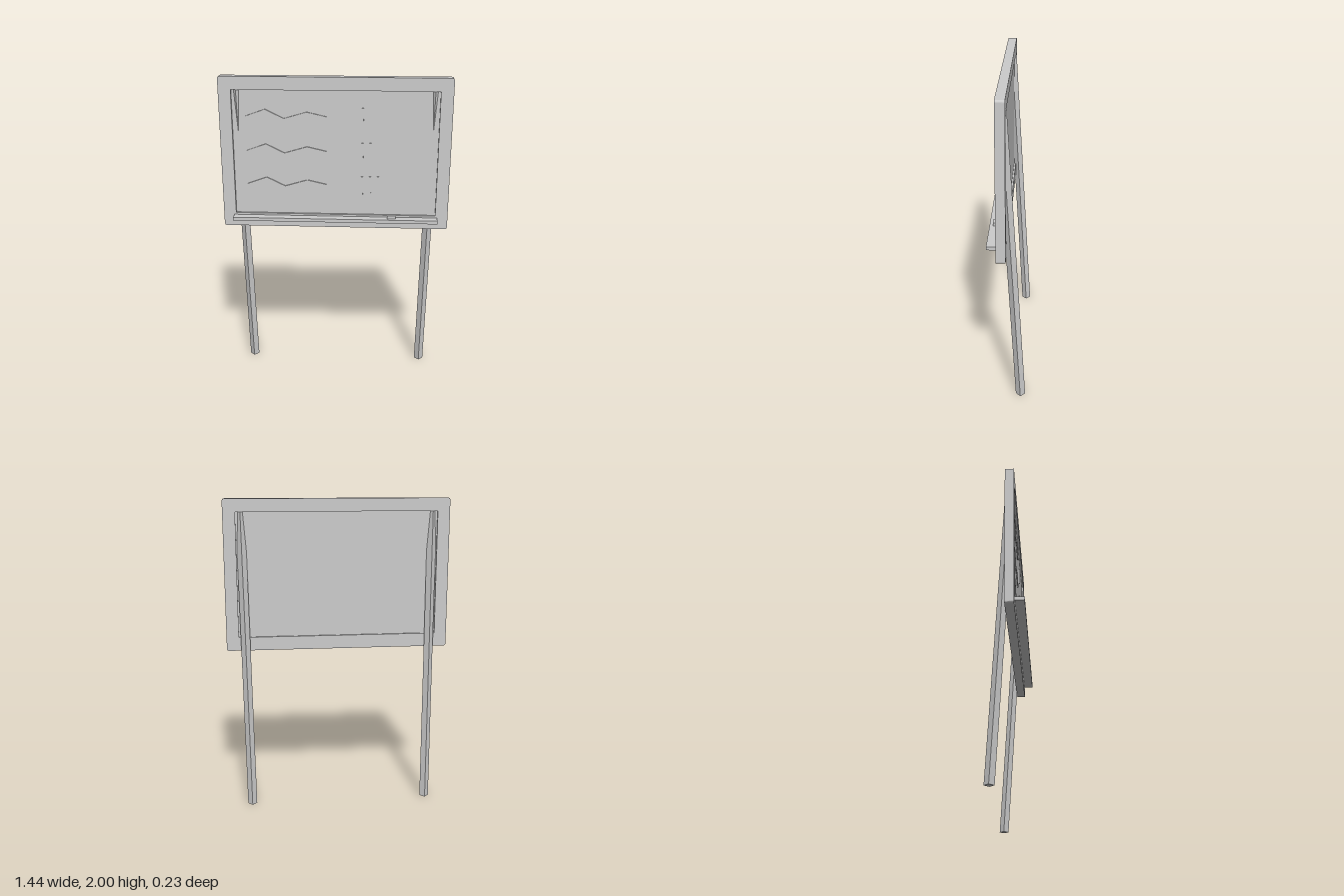
import * as THREE from 'three';

const grey = new THREE.MeshStandardMaterial({ color: 0xcccccc });
grey.name = 'plain grey';

const PANEL_FRONT = 0.041;

function addMesh(parent, name, geometry) {
  const mesh = new THREE.Mesh(geometry, grey);
  mesh.name = name;
  parent.add(mesh);
  return mesh;
}

// Box given by its lower and upper limits on each axis
function addBox(parent, name, [x0, x1], [y0, y1], [z0, z1]) {
  const mesh = addMesh(parent, name, new THREE.BoxGeometry(x1 - x0, y1 - y0, z1 - z0));
  mesh.position.set((x0 + x1) / 2, (y0 + y1) / 2, (z0 + z1) / 2);
  return mesh;
}

function roundedRect(x, y0, y1, r) {
  const s = new THREE.Shape();
  s.absarc(x - r, y0 + r, r, -Math.PI / 2, 0);
  s.absarc(x - r, y1 - r, r, 0, Math.PI / 2);
  s.absarc(-x + r, y1 - r, r, Math.PI / 2, Math.PI);
  s.absarc(-x + r, y0 + r, r, Math.PI, Math.PI * 1.5);
  s.closePath();
  return s;
}

export function createModel() {
  const model = new THREE.Group();
  model.name = 'chalkboard';

  // Frame with a rectangular opening
  const outline = roundedRect(0.722, 1.033, 2, 0.014);
  outline.holes.push(new THREE.Path([
    new THREE.Vector2(-0.643, 1.12), new THREE.Vector2(-0.643, 1.918),
    new THREE.Vector2(0.643, 1.918), new THREE.Vector2(0.643, 1.12),
  ]));
  addMesh(model, 'frame', new THREE.ExtrudeGeometry(outline,
    { depth: 0.057, bevelEnabled: false, curveSegments: 4 }));

  // Writing panel, set back from both faces of the frame
  addBox(model, 'panel', [-0.643, 0.643], [1.12, 1.918], [0.012, PANEL_FRONT]);

  // Chalk tray and chalk
  addBox(model, 'tray', [-0.655, 0.655], [1.086, 1.108], [0.055, 0.116]);
  addBox(model, 'chalk', [0.335, 0.39], [1.108, 1.128], [0.078, 0.094]);

  // Square legs set cornerwise, leaning forward and outward to the top
  for (const side of [-1, 1]) {
    const height = 1.918;
    const leg = new THREE.BoxGeometry(0.042, height, 0.042);
    leg.rotateY(Math.PI / 4);
    leg.translate(0, height / 2, 0);
    leg.applyMatrix4(new THREE.Matrix4().set(
      1, side * 0.0145, 0, side * 0.584,
      0, 1, 0, 0,
      0, 0.0585, 1, -0.0855,
      0, 0, 0, 1));
    addMesh(model, side > 0 ? 'leftLeg' : 'rightLeg', leg);
  }

  // Chalk marks: a wavy line and a growing tally on each row
  const wave = [[-0.555, 0], [-0.437, 0.042], [-0.32, -0.015], [-0.177, 0.027], [-0.058, 0]];
  const marks = new THREE.Group();
  marks.name = 'chalkMarks';
  model.add(marks);
  [1.75, 1.53, 1.313].forEach((y, row) => {
    for (let i = 0; i < wave.length - 1; i++) {
      const [ax, ay] = wave[i], [bx, by] = wave[i + 1];
      const stroke = addMesh(marks, 'waveStroke',
        new THREE.BoxGeometry(Math.hypot(bx - ax, by - ay) + 0.004, 0.011, 0.009));
      stroke.position.set((ax + bx) / 2, y + (ay + by) / 2, PANEL_FRONT + 0.004);
      stroke.rotation.z = Math.atan2(by - ay, bx - ax);
    }
    for (let i = 0; i <= row; i++) {
      const x = 0.171 + i * 0.051;
      addBox(marks, 'tallyStroke', [x - 0.006, x + 0.006], [y - 0.06, y + 0.06],
        [PANEL_FRONT - 0.001, PANEL_FRONT + 0.008]);
    }
  });

  return model;
}
